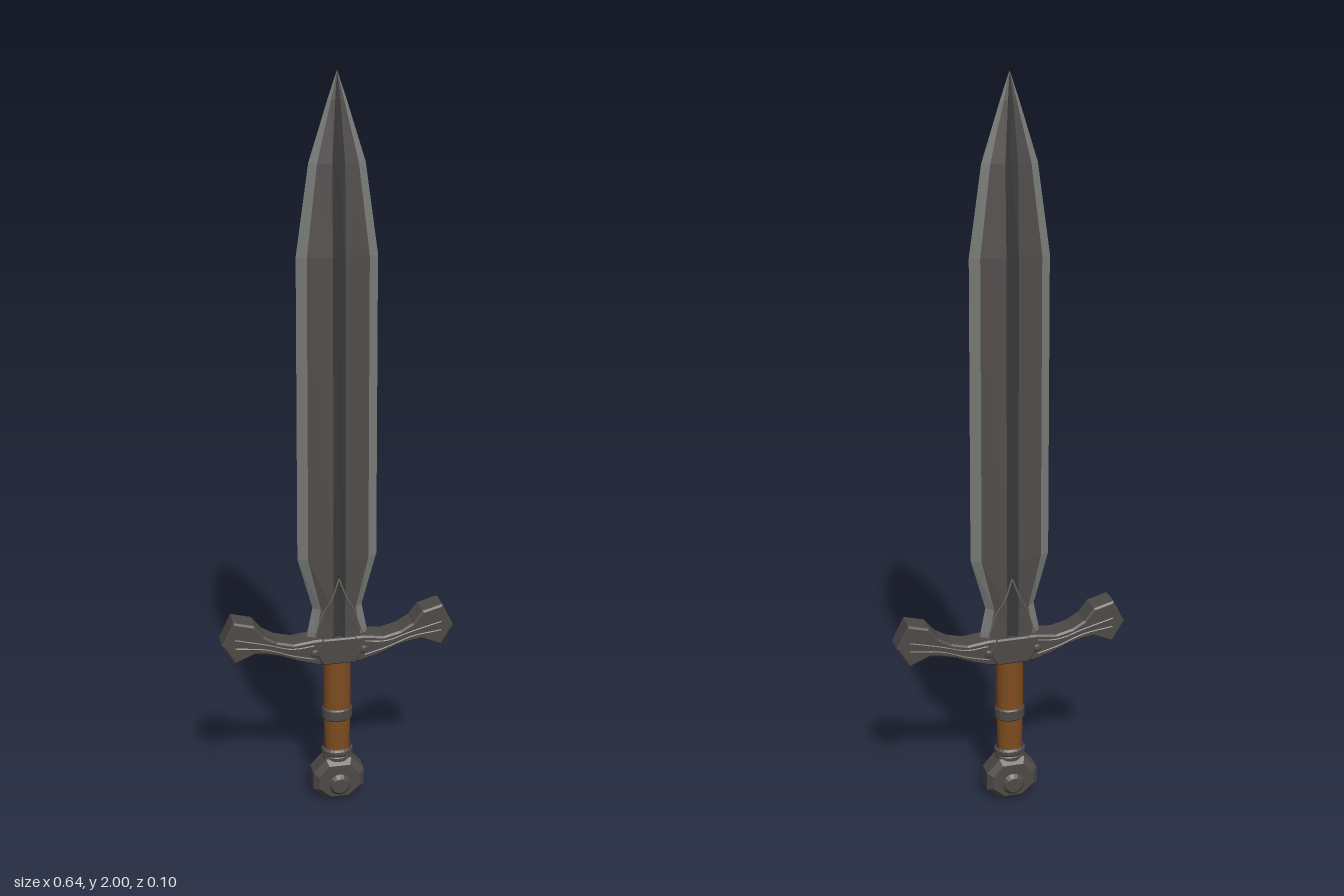
import * as THREE from 'three';

const mat = (name, color, flat = true) => {
  const m = new THREE.MeshStandardMaterial({ color });
  m.name = name;
  m.flatShading = flat;
  return m;
};

export function createModel() {
  const iron = mat('dark iron', 0x4d4947);
  const steel = mat('blade steel', 0x504c4a);
  const honed = mat('honed edge', 0x7b7e7a);
  const groove = mat('fuller shade', 0x3c3b3b);
  const inlay = mat('inlay', 0x6a6764);
  const leather = mat('grip leather', 0x7d4c1f, false);
  const sword = new THREE.Group();
  sword.name = 'sword';

  const add = (name, geometry, material, x = 0, y = 0, z = 0) => {
    const mesh = new THREE.Mesh(geometry, material);
    mesh.name = name;
    mesh.position.set(x, y, z);
    sword.add(mesh);
    return mesh;
  };

  // Blade stations: height, edge half width, bevel half width, bevel depth, ridge depth
  const rows = [
    [0.47, 0.085, 0.062, 0.017, 0.03],
    [0.52, 0.082, 0.06, 0.017, 0.03],
    [0.59, 0.068, 0.048, 0.018, 0.031],
    [0.735, 0.108, 0.082, 0.018, 0.032],
    [1.55, 0.105, 0.08, 0.017, 0.028],
    [1.78, 0.072, 0.052, 0.012, 0.02],
    [1.93, 0.024, 0.016, 0.006, 0.009],
    [2.0, 0, 0, 0, 0],
  ];
  // Twelve-point section with a groove down the middle of both faces
  const section = ([y, w, b, bz, rz]) => {
    const f = Math.min(0.016, b * 0.4);
    const half = [[w, 0], [b, bz], [f, rz], [0, rz * 0.6], [-f, rz], [-b, bz]];
    return [...half, ...half.map(([x, z]) => [-x, -z])].map(([x, z]) => [x, y, z]);
  };
  const rings = rows.map(section);
  const bladeStrips = (name, sides, material) => {
    const pos = [];
    for (let r = 0; r < rings.length - 1; r++) {
      for (const s of sides) {
        const n = (s + 1) % 12;
        const a = rings[r][s], b = rings[r][n], c = rings[r + 1][n], d = rings[r + 1][s];
        pos.push(...a, ...c, ...b);
        if (r < rings.length - 2) pos.push(...a, ...d, ...c);
      }
    }
    const g = new THREE.BufferGeometry();
    // Sections run from +x to +z, so reverse each triangle to face outward
    g.setAttribute('position', new THREE.Float32BufferAttribute(pos, 3));
    const p = g.attributes.position;
    const u = new THREE.Vector3(), v = new THREE.Vector3();
    const t = [new THREE.Vector3(), new THREE.Vector3(), new THREE.Vector3()];
    for (let i = 0; i < p.count; i += 3) {
      t.forEach((q, k) => q.fromBufferAttribute(p, i + k));
      const nz = u.subVectors(t[1], t[0]).cross(v.subVectors(t[2], t[0])).z;
      if (nz * (t[0].z + t[1].z + t[2].z) < 0) {
        p.setXYZ(i + 1, t[2].x, t[2].y, t[2].z);
        p.setXYZ(i + 2, t[1].x, t[1].y, t[1].z);
      }
    }
    g.computeVertexNormals();
    add(name, g, material);
  };
  bladeStrips('bladeEdges', [0, 5, 6, 11], honed);
  bladeStrips('bladeFaces', [1, 4, 7, 10], steel);
  bladeStrips('fullers', [2, 3, 8, 9], groove);

  // Plate of a given outline, bevelled and centred on z
  const plate = (points, depth, bevel) => {
    const g = new THREE.ExtrudeGeometry(new THREE.Shape(points.map(([x, y]) => new THREE.Vector2(x, y))), {
      depth: depth - 2 * bevel, bevelEnabled: bevel > 0, bevelSize: bevel,
      bevelThickness: bevel, bevelOffset: -bevel, bevelSegments: 1,
    });
    return g.translate(0, 0, bevel - depth / 2);
  };

  // Crossguard: right half outline, mirrored to close the loop
  const guardHalf = [
    [0.06, 0.432], [0.11, 0.447], [0.16, 0.468], [0.2, 0.478], [0.23, 0.482],
    [0.286, 0.458], [0.32, 0.515], [0.288, 0.58], [0.232, 0.565],
    [0.205, 0.531], [0.17, 0.511], [0.125, 0.5], [0.065, 0.507],
  ];
  const mirrored = guardHalf.map(([x, y]) => [-x, y]).reverse();
  add('crossguard', plate([...guardHalf, ...mirrored], 0.068, 0.005), iron);
  add('guardBlock', plate([
    [-0.045, 0.432], [0.045, 0.432], [0.068, 0.47], [0.045, 0.508], [-0.045, 0.508], [-0.068, 0.47],
  ], 0.076, 0.004), iron);

  // Fine wire inlays on both faces of the guard and at the blade root
  const wire = (name, points, r = 0.0022) => add(name, new THREE.TubeGeometry(
    new THREE.CatmullRomCurve3(points.map((p) => new THREE.Vector3(...p))), 16, r, 4), inlay);
  for (const z of [-1, 1]) {
    for (const x of [-1, 1]) {
      const zg = z * 0.035;
      wire('guardInlayUpper', [[x * 0.07, 0.492, zg], [x * 0.13, 0.488, zg], [x * 0.2, 0.508, zg], [x * 0.285, 0.53, zg]]);
      wire('guardInlayLower', [[x * 0.07, 0.452, zg], [x * 0.13, 0.468, zg], [x * 0.2, 0.493, zg], [x * 0.285, 0.505, zg]]);
      wire('rootInlay', [[x * 0.066, 0.51, z * 0.022], [x * 0.045, 0.575, z * 0.022], [x * 0.02, 0.625, z * 0.031], [0, 0.68, z * 0.026]]);
      const stud = add('guardStud', new THREE.SphereGeometry(0.012, 8, 6), iron, x * 0.068, 0.47, z * 0.036);
      stud.scale.z = 0.5;
    }
  }

  // Grip, slightly oval, with metal bands
  const lathe = (name, profile, material) => {
    const g = new THREE.LatheGeometry(profile.map(([r, y]) => new THREE.Vector2(r, y)), 20);
    add(name, g, material).scale.z = 0.82;
  };
  lathe('grip', [[0.034, 0.13], [0.036, 0.2], [0.038, 0.28], [0.038, 0.44]], leather);
  const band = (name, y0, y1, r) => lathe(name, [
    [r - 0.006, y0], [r, y0 + 0.006], [r, y1 - 0.006], [r - 0.006, y1],
  ], iron);
  band('gripBand', 0.248, 0.287, 0.042);
  band('pommelCollarUpper', 0.137, 0.16, 0.044);
  band('pommelCollarLower', 0.118, 0.14, 0.04);

  // Pommel: octagonal body with chamfered faces and round bosses
  const octagon = [
    [-0.03, 0.004], [0.03, 0.004], [0.072, 0.04], [0.072, 0.09],
    [0.036, 0.13], [-0.036, 0.13], [-0.072, 0.09], [-0.072, 0.04],
  ];
  add('pommel', plate(octagon, 0.078, 0.015), iron);
  for (const z of [-1, 1]) {
    const boss = add('pommelBoss', new THREE.CylinderGeometry(0.022, 0.034, 0.012, 16), iron, 0, 0.055, z * 0.043);
    boss.rotation.x = z * Math.PI / 2;
  }
  return sword;
}
